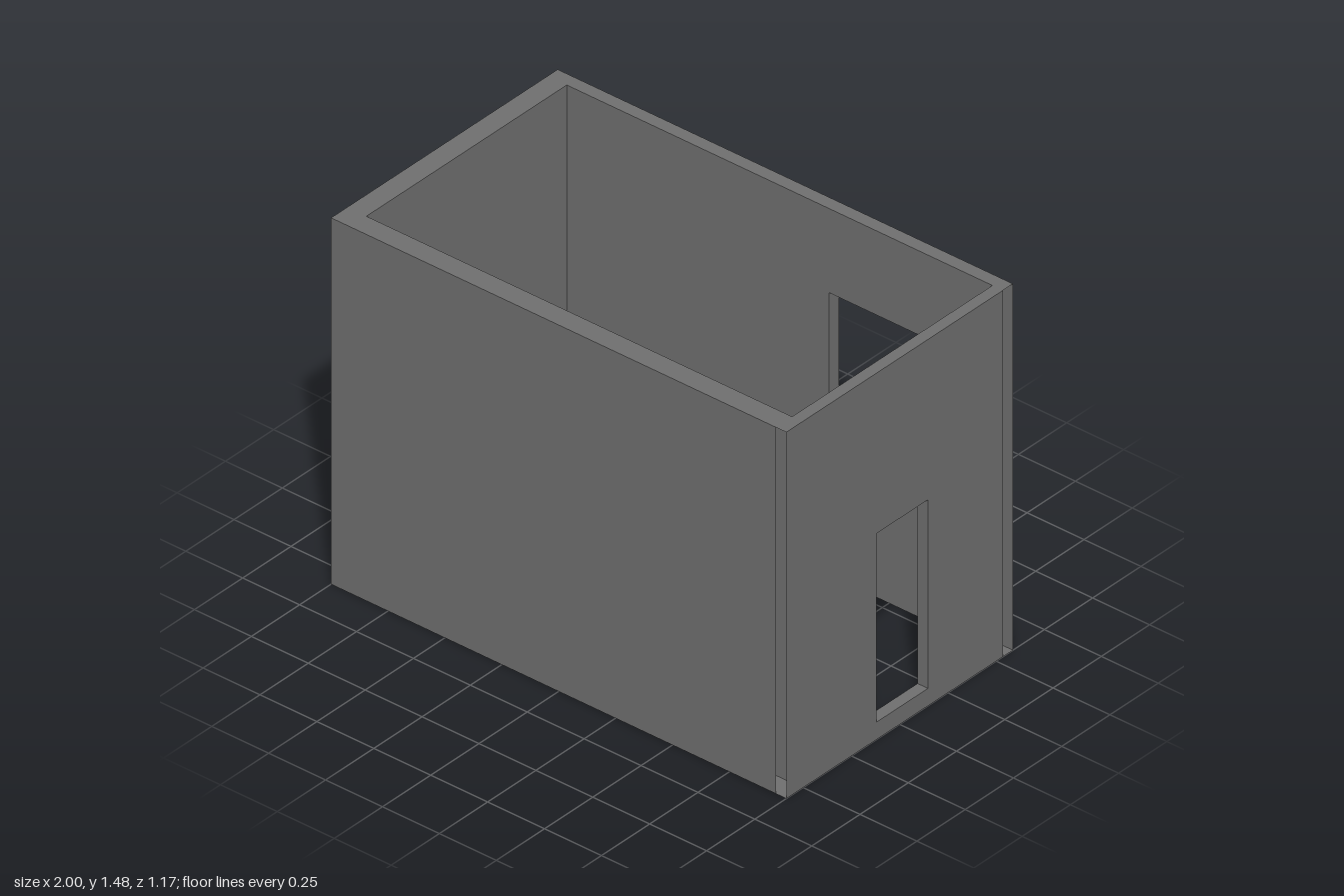
import * as THREE from 'three';

const H = 1.476;
// Outer and inner outlines of the hollow walls
const OUT = { x0: -1, x1: 1, z0: -0.587, z1: 0.587 };
const INN = { x0: -0.916, x1: 0.954, z0: -0.535, z1: 0.503 };

const material = new THREE.MeshStandardMaterial({ color: 0x707070, side: THREE.DoubleSide, flatShading: true });

function rect(Type, u0, u1, v0, v1) {
  const p = new Type();
  p.moveTo(u0, v0);
  p.lineTo(u1, v0);
  p.lineTo(u1, v1);
  p.lineTo(u0, v1);
  p.closePath();
  return p;
}

function flip(geo) {
  geo.setIndex(Array.from(geo.index.array).reverse());
  const n = geo.attributes.normal;
  for (let i = 0; i < n.array.length; i++) n.array[i] *= -1;
  return geo;
}

// Puts a geometry drawn in (u, y) onto a plane of constant x or z
function place(geo, axis, at) {
  if (axis === 'x') geo.rotateY(-Math.PI / 2).translate(at, 0, 0);
  else geo.translate(0, 0, at);
  return geo;
}

// Upright sheet, with an optional opening, facing the + or - side of its axis
function sheet(axis, at, u0, u1, facing, hole) {
  const shape = rect(THREE.Shape, u0, u1, 0, H);
  if (hole) shape.holes.push(rect(THREE.Path, hole.u0, hole.u1, hole.v0, hole.v1));
  const geo = place(new THREE.ShapeGeometry(shape), axis, at);
  const drawn = axis === 'x' ? -1 : 1;
  return facing === drawn ? geo : flip(geo);
}

// Four inward faces around an opening, through the wall thickness
function lining(axis, a, b, h) {
  const geo = new THREE.BoxGeometry(h.u1 - h.u0, h.v1 - h.v0, Math.abs(b - a));
  geo.setIndex(Array.from(geo.index.array).slice(0, 24));
  geo.clearGroups();
  geo.translate((h.u0 + h.u1) / 2, (h.v0 + h.v1) / 2, 0);
  return place(flip(geo), axis, (a + b) / 2);
}

export function createModel() {
  const model = new THREE.Group();
  model.name = 'room';
  const add = (parent, name, geo) => {
    const mesh = new THREE.Mesh(geo, material);
    mesh.name = name;
    parent.add(mesh);
  };

  // Hollow walls: the outer sheets leave three wall ends open
  const walls = [
    { name: 'frontWall', axis: 'z', side: 1, out: OUT.z1, inn: INN.z1,
      outer: [OUT.x0, INN.x1], inner: [INN.x0, INN.x1] },
    { name: 'backWall', axis: 'z', side: -1, out: OUT.z0, inn: INN.z0,
      outer: [OUT.x0, OUT.x1], inner: [INN.x0, INN.x1],
      opening: 'window', hole: { u0: 0.235, u1: 0.705, v0: 0.5, v1: 1.137 } },
    { name: 'leftWall', axis: 'x', side: 1, out: OUT.x1, inn: INN.x1,
      outer: [INN.z0, OUT.z1], inner: [INN.z0, INN.z1],
      opening: 'leftDoorway', hole: { u0: -0.147, u1: 0.12, v0: 0.07, v1: 0.83 } },
    // The right doorway is the taller one
    { name: 'rightWall', axis: 'x', side: -1, out: OUT.x0, inn: INN.x0,
      outer: [INN.z0, OUT.z1], inner: [INN.z0, INN.z1],
      opening: 'rightDoorway', hole: { u0: -0.046, u1: 0.264, v0: 0.06, v1: 0.93 } },
  ];
  for (const w of walls) {
    const group = new THREE.Group();
    group.name = w.name;
    add(group, w.name + 'Outside', sheet(w.axis, w.out, ...w.outer, w.side, w.hole));
    add(group, w.name + 'Inside', sheet(w.axis, w.inn, ...w.inner, -w.side, w.hole));
    if (w.hole) add(group, w.opening + 'Lining', lining(w.axis, w.out, w.inn, w.hole));
    model.add(group);
  }

  // Rims closing the walls at the top and bottom
  const ring = rect(THREE.Shape, OUT.x0, OUT.x1, -OUT.z1, -OUT.z0);
  ring.holes.push(rect(THREE.Path, INN.x0, INN.x1, -INN.z1, -INN.z0));
  const rim = () => new THREE.ShapeGeometry(ring).rotateX(-Math.PI / 2);
  add(model, 'topRim', rim().translate(0, H, 0));
  add(model, 'bottomRim', flip(rim()));

  return model;
}
